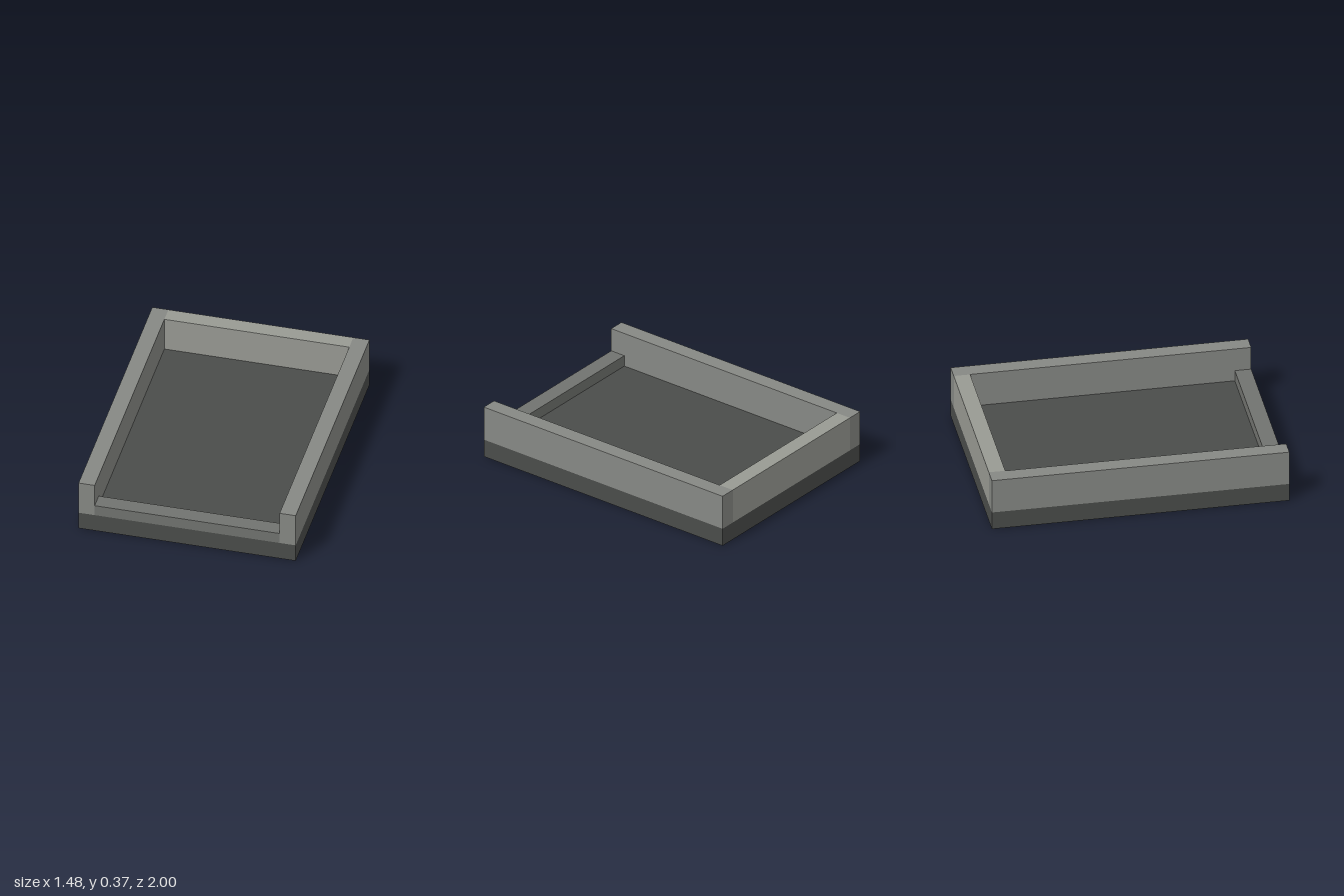
import * as THREE from 'three';

const W = 1.48, L = 2, T = 0.11; // outer width, length, wall thickness
const BASE = 0.127, TOP = 0.372, LIP = 0.205; // heights

export function createModel() {
  const model = new THREE.Group();
  model.name = 'openTray';

  // Box resting between two heights
  const addBox = (name, color, width, depth, y0, y1, x, z) => {
    const mesh = new THREE.Mesh(
      new THREE.BoxGeometry(width, y1 - y0, depth),
      new THREE.MeshStandardMaterial({ color })
    );
    mesh.name = name;
    mesh.position.set(x, (y0 + y1) / 2, z);
    model.add(mesh);
  };

  // Floor slab
  addBox('base', 0x4a4c4a, W, L, 0, BASE, 0, 0);

  // Full-length side walls
  for (const [name, side] of [['leftWall', 1], ['rightWall', -1]]) {
    addBox(name, 0x868884, T, L, BASE, TOP, side * (W - T) / 2, 0);
  }

  // Tall back wall and low front lip, fitted between the sides
  const inner = W - 2 * T;
  addBox('backWall', 0x989a93, inner, T, BASE, TOP, 0, -(L - T) / 2);
  addBox('frontLip', 0x71736f, inner, T, BASE, LIP, 0, (L - T) / 2);

  return model;
}
